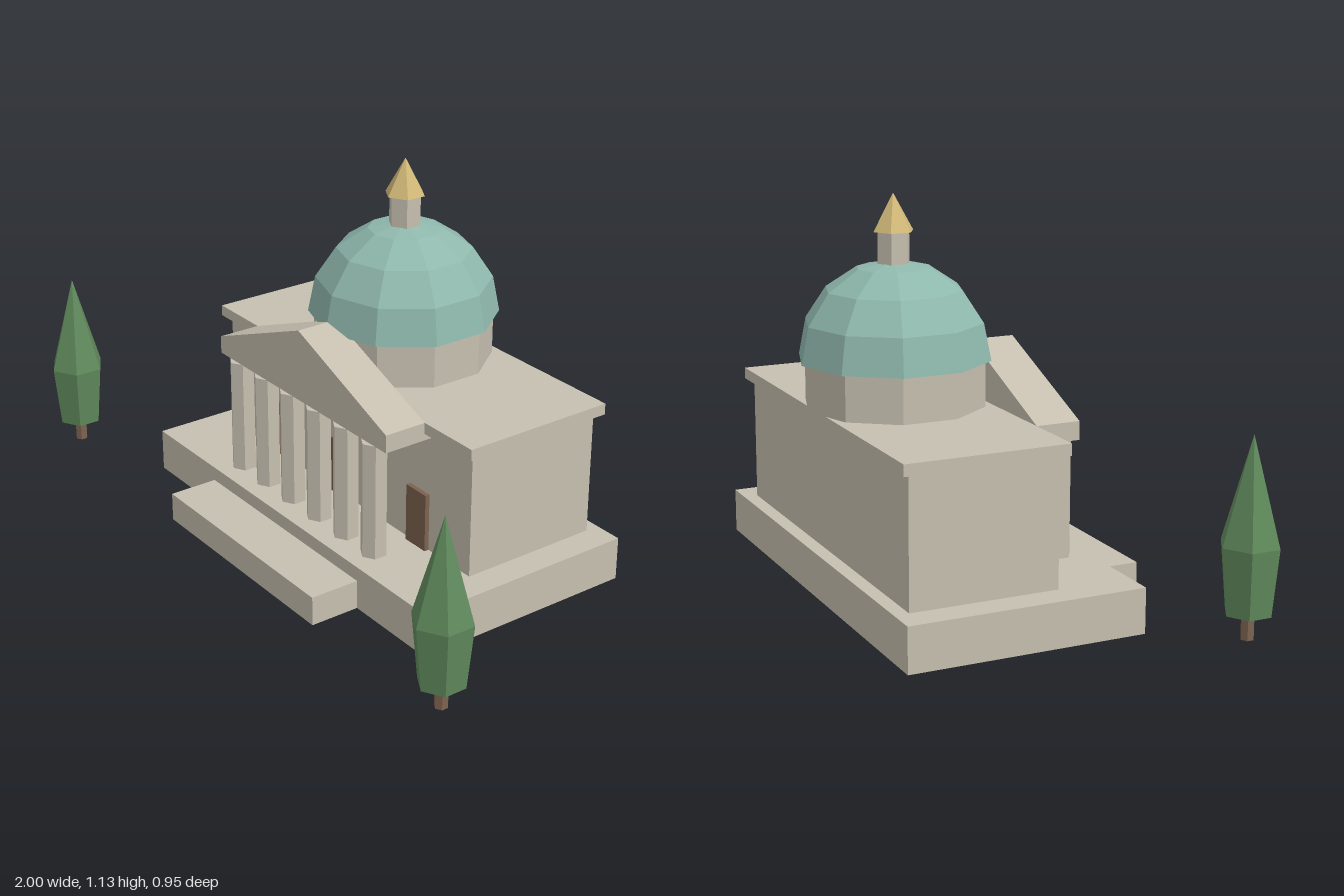
import * as THREE from 'three';

function material(name, color) {
  const m = new THREE.MeshStandardMaterial({ color, flatShading: true });
  m.name = name;
  return m;
}

export function createModel() {
  const stone = material('stone', 0xc6bfb0);
  const copper = material('weathered copper', 0x8fb8ac);
  const gold = material('gold', 0xd2b978);
  const wood = material('wood', 0x7c624f);
  const leaf = material('leaf green', 0x608a5c);

  const root = new THREE.Group();
  root.name = 'domedHall';

  const add = (name, geometry, mat, parent = root) => {
    const mesh = new THREE.Mesh(geometry, mat);
    mesh.name = name;
    parent.add(mesh);
    return mesh;
  };

  // Box given by half width, centre x, and its y and z ranges
  const box = (name, mat, halfX, y0, y1, z0, z1, x = 0) => {
    const mesh = add(name, new THREE.BoxGeometry(halfX * 2, y1 - y0, z1 - z0), mat);
    mesh.position.set(x, (y0 + y1) / 2, (z0 + z1) / 2);
    return mesh;
  };

  // Faceted turned shape from [radius, y] points, lowest first
  const turned = (name, mat, sides, points, x, z, parent = root) => {
    const profile = points.map(([r, y]) => new THREE.Vector2(r, y));
    const mesh = add(name, new THREE.LatheGeometry(profile, sides), mat, parent);
    mesh.position.set(x, 0, z);
    return mesh;
  };

  // Plinth, front step, hall and roof slab
  box('plinth', stone, 0.671, 0, 0.13, -0.452, 0.24);
  box('frontStep', stone, 0.366, 0, 0.087, 0.2, 0.391);
  box('hall', stone, 0.585, 0.13, 0.5, -0.41, 0.022);
  box('roofSlab', stone, 0.607, 0.5, 0.533, -0.432, 0.045);

  // Portico beam and gable
  box('porticoBeam', stone, 0.408, 0.48, 0.533, 0.02, 0.176);
  const gable = new THREE.Shape([
    new THREE.Vector2(-0.408, 0.533),
    new THREE.Vector2(0.408, 0.533),
    new THREE.Vector2(0, 0.695),
  ]);
  add('gable', new THREE.ExtrudeGeometry(gable, { depth: 0.131, bevelEnabled: false }), stone)
    .position.z = 0.045;

  // Six-sided portico columns
  for (let i = 0; i < 6; i++) {
    const column = add('column', new THREE.CylinderGeometry(0.039, 0.039, 0.35, 6), stone);
    column.position.set((i - 2.5) * 0.131, 0.305, 0.155);
  }

  // Doors
  for (const x of [-0.363, 0, 0.363]) box('door', wood, 0.043, 0.13, 0.305, 0.02, 0.036, x);

  // Drum, dome, lantern and spire
  const domeZ = -0.195;
  turned('drum', stone, 10, [[0.26, 0.53], [0.26, 0.67]], 0, domeZ);
  const domeR = 0.277;
  const domeProfile = [[0, 0.665]];
  for (let i = 0; i <= 4; i++) {
    const a = (i * Math.PI) / 8;
    domeProfile.push([i === 4 ? 0 : domeR * Math.cos(a), 0.665 + domeR * Math.sin(a)]);
  }
  turned('dome', copper, 10, domeProfile, 0, domeZ);
  turned('lantern', stone, 6, [[0.048, 0.91], [0.048, 1.025]], 0, domeZ);
  turned('spire', gold, 6, [[0, 1.022], [0.06, 1.022], [0, 1.128]], 0, domeZ);

  // Cypress trees on both sides
  for (const side of [-1, 1]) {
    const tree = new THREE.Group();
    tree.name = side > 0 ? 'leftTree' : 'rightTree';
    tree.position.set(side * 0.927, 0, 0.391);
    root.add(tree);
    turned('trunk', wood, 6, [[0, 0.05], [0.019, 0.05], [0.019, 0.13]], 0, 0, tree);
    turned('foliage', leaf, 6, [[0, 0.121], [0.066, 0.121], [0.084, 0.306], [0, 0.596]], 0, 0, tree);
  }

  return root;
}
